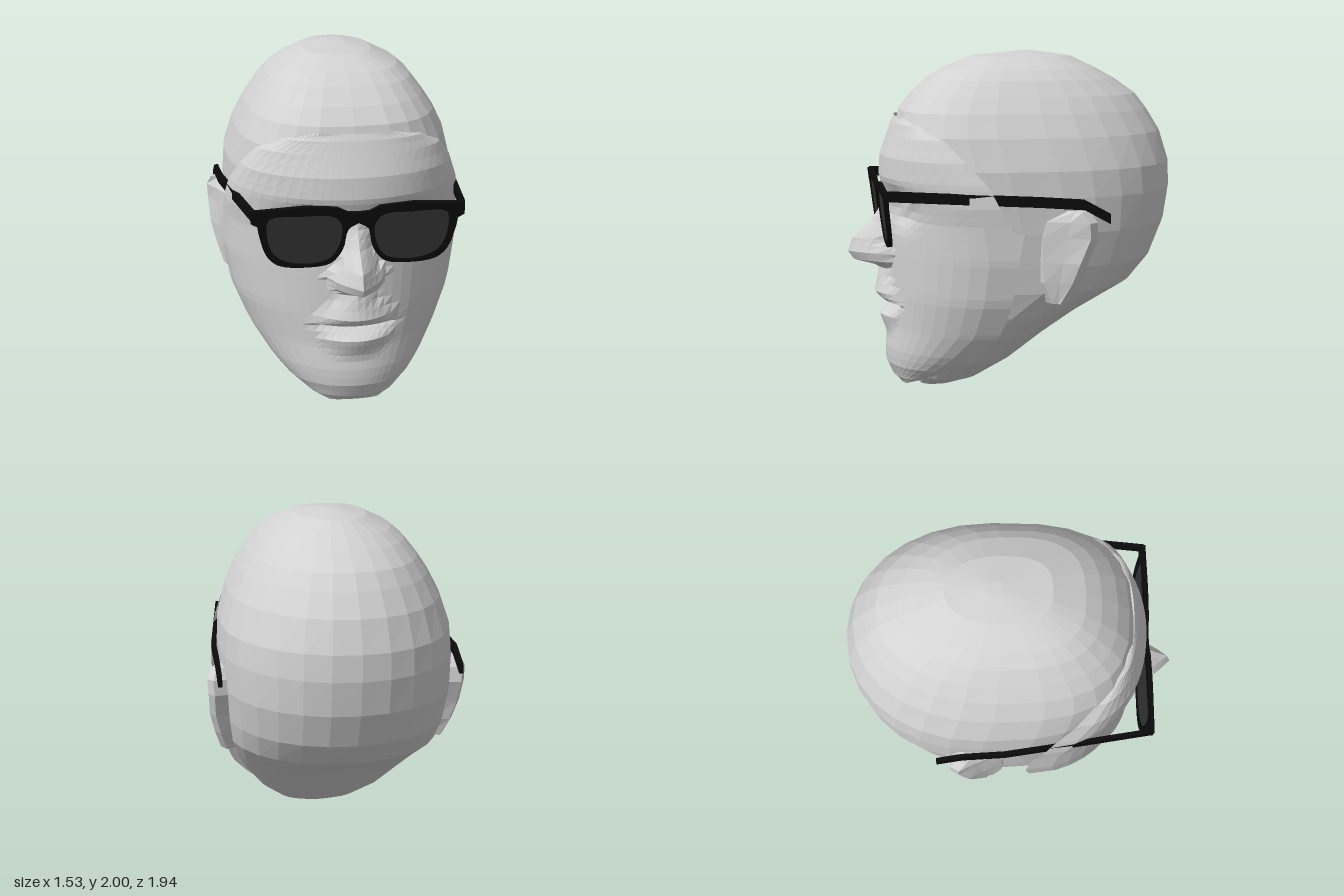
import * as THREE from 'three';

const skin = new THREE.MeshStandardMaterial({ color: 0xd2d2d2, side: THREE.DoubleSide });
skin.name = 'pale grey';
const black = new THREE.MeshStandardMaterial({ color: 0x0b0b0b });
black.name = 'frame black';
const dark = new THREE.MeshStandardMaterial({ color: 0x333333 });
dark.name = 'lens grey';

function part(name, geometry, material) {
  const mesh = new THREE.Mesh(geometry, material);
  mesh.name = name;
  return mesh;
}

// Faceted skin over rows of [x, y, z] points; closed rows are rings with end caps
function loft(rows, closed = true) {
  const n = rows[0].length, index = [];
  for (let j = 0; j < rows.length - 1; j++) {
    for (let i = 0; i < (closed ? n : n - 1); i++) {
      const k = (i + 1) % n;
      const a = j * n + i, b = j * n + k, c = b + n, d = a + n;
      index.push(a, b, c, a, c, d);
    }
  }
  if (closed) {
    const e = (rows.length - 1) * n;
    for (let i = 1; i < n - 1; i++) index.push(0, i + 1, i, e, e + i, e + i + 1);
  }
  const g = new THREE.BufferGeometry();
  g.setAttribute('position', new THREE.Float32BufferAttribute(rows.flat(2), 3));
  g.setIndex(index);
  const flat = g.toNonIndexed();
  flat.computeVertexNormals();
  return flat;
}

// Linear lookup in a table whose first column is y
function at(table, y, col) {
  let i = 1;
  while (i < table.length - 1 && table[i][0] < y) i++;
  const a = table[i - 1], b = table[i];
  const t = THREE.MathUtils.clamp((y - a[0]) / (b[0] - a[0]), 0, 1);
  return a[col] + (b[col] - a[col]) * t;
}

// y, half width, front z, back z
const SKULL = [
  [0, .1, .56, .35], [.07, .26, .58, .19], [.19, .39, .6, 0], [.36, .51, .6, -.21],
  [.5, .58, .6, -.42], [.65, .63, .57, -.73], [.8, .65, .56, -.86], [1, .67, .55, -.94],
  [1.2, .675, .6, -.97], [1.35, .665, .65, -.965], [1.53, .61, .69, -.91],
  [1.66, .545, .655, -.83], [1.75, .485, .585, -.76], [1.84, .415, .49, -.63],
  [1.9, .345, .4, -.52], [1.97, .2, .22, -.37], [2, .04, -.05, -.15],
];

function skullGeometry() {
  const n = 28;
  return loft(SKULL.map(([y, w, zf, zb]) => Array.from({ length: n }, (_, i) => {
    const t = i / n * Math.PI * 2, s = Math.sin(t), c = Math.cos(t);
    // squarer forehead and underside, rounder back
    const e = c > 0 ? (y > 1.1 ? .7 : .8) : y > .6 ? .95 : .85;
    const bend = v => Math.sign(v) * Math.abs(v) ** e;
    return [w * bend(s), y, (zf + zb) / 2 + (zf - zb) / 2 * bend(c)];
  })));
}

// y, half width of the rim, rim z, middle z
const FACE = [
  [.03, .15, .65, .68], [.07, .24, .58, .72], [.15, .365, .43, .755], [.23, .45, .32, .76],
  [.39, .57, .16, .74], [.6, .66, .1, .74], [.84, .7, .07, .74], [1.05, .695, .11, .74],
  [1.15, .69, .17, .745], [1.27, .665, .23, .785], [1.4, .605, .35, .775],
  [1.52, .515, .46, .73], [1.59, .385, .57, .705], [1.625, .2, .66, .685],
];
// y, projection, half width
const NOSE = [
  [.69, 0, .09], [.735, .08, .12], [.77, .2, .16], [.82, .235, .17], [.9, .21, .125],
  [1, .1, .09], [1.1, .03, .075], [1.2, 0, .06],
];
// y, projection, half width
const LIPS = [
  [.32, 0, .15], [.4, .04, .2], [.44, .05, .23], [.515, -.06, .27], [.53, .035, .27],
  [.57, .085, .25], [.62, .07, .2], [.68, .06, .13], [.72, 0, .1],
];

function faceGeometry() {
  const half = [.06, .12, .18, .24, .31, .39, .48, .58, .68, .77, .85, .92, .97, 1];
  const cols = [...half.map(u => -u).reverse(), 0, ...half];
  const rows = [.03, .07, .11, .15, .2, .25, .3, .34, .38, .41, .44, .48, .515, .53, .55, .58,
    .63, .68, .72, .735, .77, .8, .82, .86, .9, .95, 1, 1.05, 1.1, 1.15, 1.2, 1.25, 1.28,
    1.33, 1.4, 1.46, 1.52, 1.56, 1.59, 1.625];
  return loft(rows.map(y => cols.map(u => {
    const w = at(FACE, y, 1), ze = at(FACE, y, 2), zf = at(FACE, y, 3);
    const x = w * u, ax = Math.abs(x);
    let z = ze + (zf - ze) * Math.sqrt(1 - u * u);
    z += at(NOSE, y, 1) * Math.max(0, 1 - ax / at(NOSE, y, 2)) ** .7;
    z += at(LIPS, y, 1) * Math.max(0, 1 - (ax / at(LIPS, y, 2)) ** 2) ** 1.3;
    // eye sockets with a slight eyeball bulge
    const ex = ax - .26, ey = y - 1.1;
    z -= .075 * Math.exp(-((ex / .13) ** 2) - (ey / .085) ** 2);
    z += .03 * Math.exp(-((ex / .07) ** 2) - (ey / .035) ** 2);
    return [x, y, z];
  })), false);
}

// y, front z, rim z, rim x
const EAR = [
  [.6, -.1, -.22, .68], [.72, -.05, -.28, .72], [.84, -.04, -.32, .75],
  [.98, -.04, -.375, .76], [1.07, -.06, -.37, .765], [1.13, -.17, -.33, .74],
];

function earGeometry(side) {
  return loft(EAR.map(([y, zf, zr, xr]) => {
    const ring = [[.6, zf], [.665, zf - .03], [(.66 + xr) / 2, (zf + zr) / 2], [xr, zr + .05],
      [xr - .03, zr], [.58, zr + .03]].map(([x, z]) => [x * side, y, z]);
    return side > 0 ? ring : ring.reverse();
  }));
}

// Spectacle arm: a thin rectangular bar along a bent path
function armGeometry(side) {
  const path = [[.58, 1.225, .8], [.65, 1.202, .3], [.697, 1.187, -.05], [.705, 1.168, -.3],
    [.705, 1.085, -.45]];
  return loft(path.map(([x, y, z]) => {
    const ring = [[-.012, -.029], [-.012, .029], [.012, .029], [.012, -.029]]
      .map(([dx, dy]) => [(x + dx) * side, y + dy, z]);
    return side > 0 ? ring : ring.reverse();
  }));
}

const PIVOT = 1.25;
// Smooth curve through [x, y] points, as 2D points relative to the frame's top
function smooth(points, closed, count) {
  const curve = new THREE.CatmullRomCurve3(
    points.map(([x, y]) => new THREE.Vector3(x, y - PIVOT, 0)), closed);
  return curve.getPoints(count).map(p => new THREE.Vector2(p.x, p.y));
}

// Counter-clockwise lens edge
function lensOutline(side) {
  const pts = [[.49, 1.2], [.505, 1.12], [.475, 1], [.41, .945], [.28, .92], [.16, .945],
    [.11, 1.01], [.09, 1.13], [.13, 1.195], [.31, 1.21]].map(([x, y]) => [x * side, y]);
  const outline = smooth(pts, true, 40).slice(0, 40);
  return side > 0 ? outline.reverse() : outline;
}

function frameShape() {
  const top = [[0, 1.215], [.06, 1.22], [.12, 1.25], [.3, 1.265], [.59, 1.25], [.59, 1.18]]
    .map(([x, y]) => new THREE.Vector2(x, y - PIVOT));
  const lower = smooth([[.555, 1.16], [.545, 1.1], [.505, .98], [.44, .92], [.28, .9],
    [.15, .92], [.085, 1], [.055, 1.12], [0, 1.155]], false, 32);
  const half = [...top, ...lower];
  const mirrored = half.slice(1, -1).reverse().map(p => new THREE.Vector2(-p.x, p.y));
  const shape = new THREE.Shape([...half, ...mirrored]);
  for (const side of [1, -1]) shape.holes.push(new THREE.Path(lensOutline(side)));
  return shape;
}

function glasses() {
  const group = new THREE.Group();
  group.name = 'sunglasses';
  const front = new THREE.Group();
  front.name = 'glassesFront';
  const extrude = (shape, depth) => new THREE.ExtrudeGeometry(shape, { depth, bevelEnabled: false });
  front.add(part('frame', extrude(frameShape(), .026), black));
  for (const side of [1, -1]) {
    const name = side > 0 ? 'left' : 'right';
    const lens = part(name + 'Lens', extrude(new THREE.Shape(lensOutline(side)), .008), dark);
    lens.position.z = .009;
    front.add(lens);
    group.add(part(name + 'Arm', armGeometry(side), black));
  }
  front.position.set(0, PIVOT, .785);
  front.rotation.x = .11;
  group.add(front);
  return group;
}

export function createModel() {
  const model = new THREE.Group();
  model.name = 'headWithSunglasses';
  model.add(part('skull', skullGeometry(), skin));
  model.add(part('face', faceGeometry(), skin));
  model.add(part('leftEar', earGeometry(1), skin));
  model.add(part('rightEar', earGeometry(-1), skin));
  model.add(glasses());
  return model;
}
